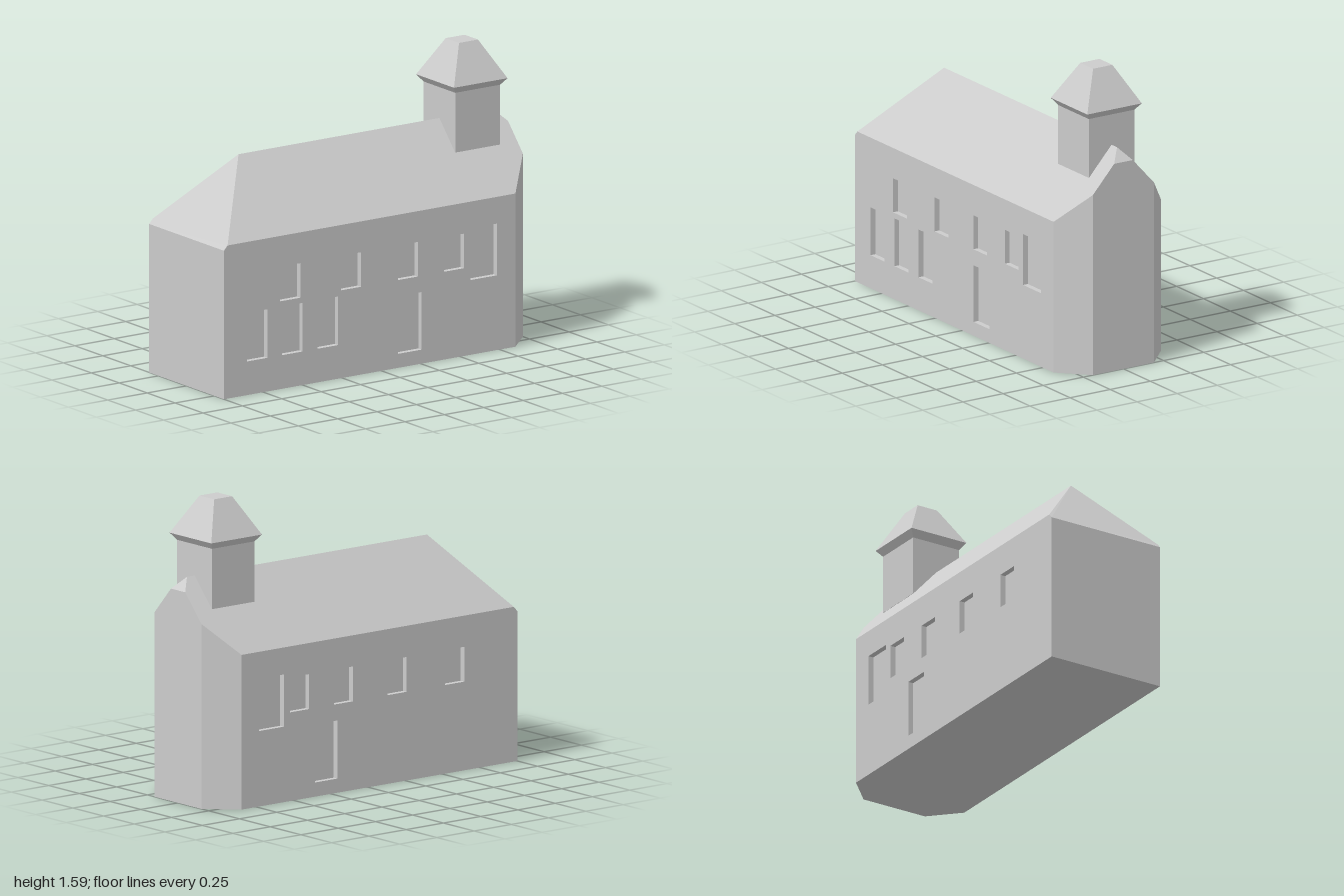
import * as THREE from 'three';

const stone = new THREE.MeshStandardMaterial({ color: 0xcccccc });
stone.name = 'paleStone';

const W = 0.335;                       // half width of the nave
const EAVE = 0.82, RIDGE = 1.19, DEPTH = 0.03;
const roofY = (z) => RIDGE - (Math.abs(z) * (RIDGE - EAVE)) / W;

// Flat faces from convex corner lists, anticlockwise seen from outside
function facesGeometry(faces) {
  const pos = [];
  for (const f of faces)
    for (let i = 1; i < f.length - 1; i++) pos.push(...f[0], ...f[i], ...f[i + 1]);
  const g = new THREE.BufferGeometry();
  g.setAttribute('position', new THREE.Float32BufferAttribute(pos, 3));
  g.computeVertexNormals();
  return g;
}

// The same face on the other side of the z = 0 plane
const mirrorZ = (face) => face.map(([x, y, z]) => [x, y, -z]).reverse();
const bothSides = (face) => [face, mirrorZ(face)];

function add(parent, name, geometry) {
  const mesh = new THREE.Mesh(geometry, stone);
  mesh.name = name;
  parent.add(mesh);
  return mesh;
}

// Long wall facing +z with sunken openings, each given as [x0, x1, y0, y1]
function makeWall(name, openings, side) {
  const wall = new THREE.Group();
  wall.name = name;
  const s = new THREE.Shape([[-1, 0], [0.85, 0], [0.85, EAVE], [-0.977, EAVE], [-1, 0.795]]
    .map((p) => new THREE.Vector2(...p)));
  const niches = [];
  for (const [x0, x1, y0, y1] of openings) {
    const c = [[x0, y0], [x1, y0], [x1, y1], [x0, y1]];
    s.holes.push(new THREE.Path([...c].reverse().map((p) => new THREE.Vector2(...p))));
    const outer = c.map(([x, y]) => [x, y, W]);
    const inner = c.map(([x, y]) => [x, y, W - DEPTH]);
    niches.push(inner);
    for (let i = 0; i < 4; i++) {
      const j = (i + 1) % 4;
      niches.push([outer[i], outer[j], inner[j], inner[i]]);
    }
  }
  const flat = new THREE.ShapeGeometry(s).toNonIndexed();
  const p = flat.attributes.position;
  const faces = [];
  for (let i = 0; i < p.count; i += 3)
    faces.push([0, 1, 2].map((k) => [p.getX(i + k), p.getY(i + k), W]));
  const place = (list) => facesGeometry(side > 0 ? list : list.map(mirrorZ));
  add(wall, 'wallFace', place(faces));
  add(wall, 'recessedOpenings', place(niches));
  return wall;
}

// Square tapered block centred on the tower axis
function squareBlock(topHalf, bottomHalf, y0, y1) {
  const g = new THREE.CylinderGeometry(topHalf * Math.SQRT2, bottomHalf * Math.SQRT2, y1 - y0, 4)
    .rotateY(Math.PI / 4).toNonIndexed();
  g.computeVertexNormals();
  return g.translate(0.747, (y0 + y1) / 2, 0);
}

export function createModel() {
  const church = new THREE.Group();
  church.name = 'church';

  // Long walls with windows and doors
  const upper = [[-0.645, -0.515], [-0.258, -0.13], [0.103, 0.23], [0.396, 0.524]]
    .map(([a, b]) => [a, b, 0.47, 0.655]);
  const lower = [[-0.855, -0.725], [-0.632, -0.5], [-0.407, -0.275]]
    .map(([a, b]) => [a, b, 0.18, 0.44]);
  const tall = [0.566, 0.732, 0.4, 0.677];
  church.add(makeWall('frontWall', [...upper, ...lower, tall, [0.105, 0.255, 0.075, 0.383]], 1));
  church.add(makeWall('backWall', [...upper, tall, [0.207, 0.356, 0.075, 0.383]], -1));

  // End walls: plain at the left edge, three-sided at the right edge
  const B = 0.19, C = 0.058;           // half widths of the apse wall and its clipped top
  add(church, 'squareEndWall', facesGeometry([
    [[-1, 0, -W], [-1, 0, W], [-1, 0.795, W], [-1, 0.795, -W]]]));
  add(church, 'apseWalls', facesGeometry([
    [[1, 0, B], [1, 0, -B], [1, roofY(B), -B], [1, roofY(C), -C], [1, roofY(C), C], [1, roofY(B), B]],
    ...bothSides([[0.85, 0, W], [1, 0, B], [1, roofY(B), B], [0.85, EAVE, W]])]));

  // Roof: two slopes, a long hip and a small clipped hip
  add(church, 'roofSlopes', facesGeometry(bothSides([
    [-0.977, EAVE, W], [0.85, EAVE, W], [1, roofY(B), B], [1, roofY(C), C],
    [0.94, RIDGE, 0], [-0.67, RIDGE, 0]])));
  add(church, 'roofHips', facesGeometry([
    [[-1, 0.795, -W], [-1, 0.795, W], [-0.977, EAVE, W], [-0.67, RIDGE, 0], [-0.977, EAVE, -W]],
    [[1, roofY(C), C], [1, roofY(C), -C], [0.94, RIDGE, 0]]]));

  // Underside
  add(church, 'floor', facesGeometry([
    [[-1, 0, -W], [0.85, 0, -W], [1, 0, -B], [1, 0, B], [0.85, 0, W], [-1, 0, W]]]));

  // Tower with flared eaves and a truncated cap
  const tower = new THREE.Group();
  tower.name = 'tower';
  add(tower, 'towerShaft', squareBlock(0.142, 0.142, 1.035, 1.355));
  add(tower, 'towerEaves', squareBlock(0.17, 0.142, 1.355, 1.392));
  add(tower, 'towerCap', squareBlock(0.06, 0.17, 1.392, 1.592));
  church.add(tower);

  return church;
}
